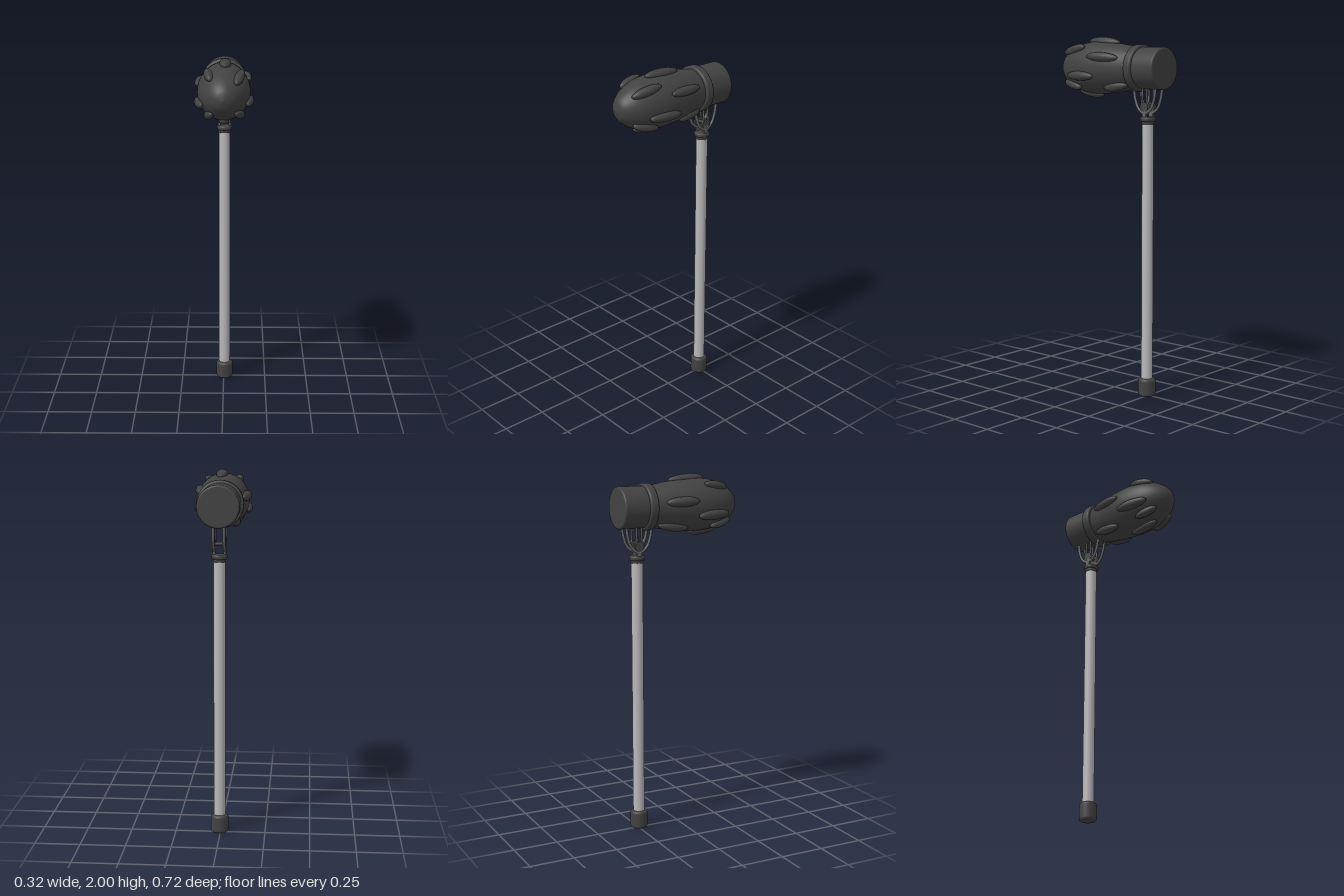
import * as THREE from 'three';

const CX = 0.005, POLE_Z = -0.243, HEAD_Y = 1.828;
const V = (x, y, z) => new THREE.Vector3(x, y, z);

export function createModel() {
  const model = new THREE.Group();
  const material = (name, color) => {
    const m = new THREE.MeshStandardMaterial({ color });
    m.name = name;
    return m;
  };
  const dark = material('dark grey', 0x424242);
  const silver = material('silver', 0xb8b8b8);
  const steel = material('steel grey', 0x666666);

  const add = (name, geometry, mat, parent = model) => {
    const mesh = new THREE.Mesh(geometry, mat);
    mesh.name = name;
    parent.add(mesh);
    return mesh;
  };
  // Turned solid with rounded rims, from height a to height b
  const drum = (r, a, b, c) => {
    const pts = [new THREE.Vector2(0, a), new THREE.Vector2(r - c, a)];
    for (const [y, start] of [[a + c, -Math.PI / 2], [b - c, 0]])
      for (let i = 0; i <= 5; i++) {
        const t = start + (i / 5) * Math.PI / 2;
        pts.push(new THREE.Vector2(r - c + c * Math.cos(t), y + c * Math.sin(t)));
      }
    pts.push(new THREE.Vector2(0, b));
    return new THREE.LatheGeometry(pts, 48);
  };

  // Pole with foot cap and top collar
  const pole = new THREE.Group();
  pole.name = 'pole';
  pole.position.set(CX, 0, POLE_Z);
  model.add(pole);
  add('footCap', drum(0.049, 0, 0.103, 0.016), dark, pole);
  add('shaft', new THREE.CylinderGeometry(0.032, 0.032, 1.45, 40).translate(0, 0.81, 0), silver, pole);
  add('lowerCollar', drum(0.036, 1.525, 1.55, 0.006), dark, pole);
  add('upperCollar', drum(0.043, 1.54, 1.566, 0.01), dark, pole);

  // Twin curved brackets joined by a pivot pin
  const bracket = new THREE.Group();
  bracket.name = 'bracket';
  bracket.position.set(CX, 0, POLE_Z);
  model.add(bracket);
  for (const x of [-0.029, 0.029]) {
    const arch = [[-0.076, 1.73], [-0.066, 1.665], [-0.042, 1.61], [0, 1.585],
      [0.042, 1.61], [0.066, 1.665], [0.076, 1.73]];
    add('archArm', new THREE.TubeGeometry(
      new THREE.CatmullRomCurve3(arch.map(([z, y]) => V(x, y, z))), 40, 0.008, 10), steel, bracket);
    for (const s of [-1, 1])
      add('innerStrut', new THREE.TubeGeometry(new THREE.QuadraticBezierCurve3(
        V(x, 1.61, s * 0.026), V(x, 1.64, s * 0.014), V(x, 1.73, s * 0.015)), 12, 0.006, 8), steel, bracket);
    add('pivotDisc', new THREE.CylinderGeometry(0.028, 0.028, 0.014, 28)
      .rotateZ(Math.PI / 2).translate(x, 1.618, 0), dark, bracket);
    add('forkStem', new THREE.BoxGeometry(0.014, 0.05, 0.026).translate(x, 1.585, 0), steel, bracket);
  }
  add('pivotPin', new THREE.CylinderGeometry(0.009, 0.009, 0.07, 20)
    .rotateZ(Math.PI / 2).translate(0, 1.622, 0), dark, bracket);

  // Head, turned about the z axis
  const head = new THREE.Group();
  head.name = 'head';
  head.position.set(CX, HEAD_Y, 0);
  model.add(head);
  add('rearDrum', drum(0.114, -0.359, -0.18, 0.01).rotateX(Math.PI / 2), dark, head);
  add('headCollar', drum(0.128, -0.215, -0.165, 0.012).rotateX(Math.PI / 2), dark, head);
  const profile = new THREE.SplineCurve([[0.108, -0.18], [0.123, -0.1], [0.137, 0], [0.143, 0.1],
    [0.134, 0.19], [0.115, 0.255], [0.085, 0.307], [0.047, 0.344], [0, 0.359]]
    .map(([r, z]) => new THREE.Vector2(r, z))).getPoints(56);
  profile.at(-1).x = 0;
  add('noseBody', new THREE.LatheGeometry(profile, 56).rotateX(Math.PI / 2), dark, head).scale.y = 1.02;

  // Raised studs along the body: angle round the axis, z, length, half width
  const radiusAt = z => {
    const i = Math.max(1, profile.findIndex(p => p.y >= z));
    const a = profile[i - 1], b = profile[i];
    return a.x + (b.x - a.x) * (z - a.y) / (b.y - a.y);
  };
  const studs = [
    [87, 0.06, 0.22, 0.032], [50, 0.22, 0.18, 0.026], [26, -0.015, 0.21, 0.026],
    [-18, 0.135, 0.2, 0.026], [-52, -0.08, 0.16, 0.026], [-90, 0.16, 0.18, 0.028],
    [127, 0.2, 0.15, 0.024], [167, -0.025, 0.19, 0.028], [200, 0.165, 0.2, 0.028],
    [235, -0.06, 0.18, 0.026], [-48, 0.23, 0.15, 0.024], [232, 0.23, 0.14, 0.024],
  ];
  for (const [angle, z, length, w] of studs) {
    const spoke = new THREE.Group();
    spoke.name = 'studMount';
    spoke.rotation.z = THREE.MathUtils.degToRad(angle);
    head.add(spoke);
    const stud = add('stud', new THREE.SphereGeometry(1, 24, 18), dark, spoke);
    stud.scale.set(0.026, w, length / 2);
    stud.position.set(radiusAt(z) + 0.001, 0, z);
    stud.rotation.y = Math.atan((radiusAt(z + 0.04) - radiusAt(z - 0.04)) / 0.08);
  }
  return model;
}
